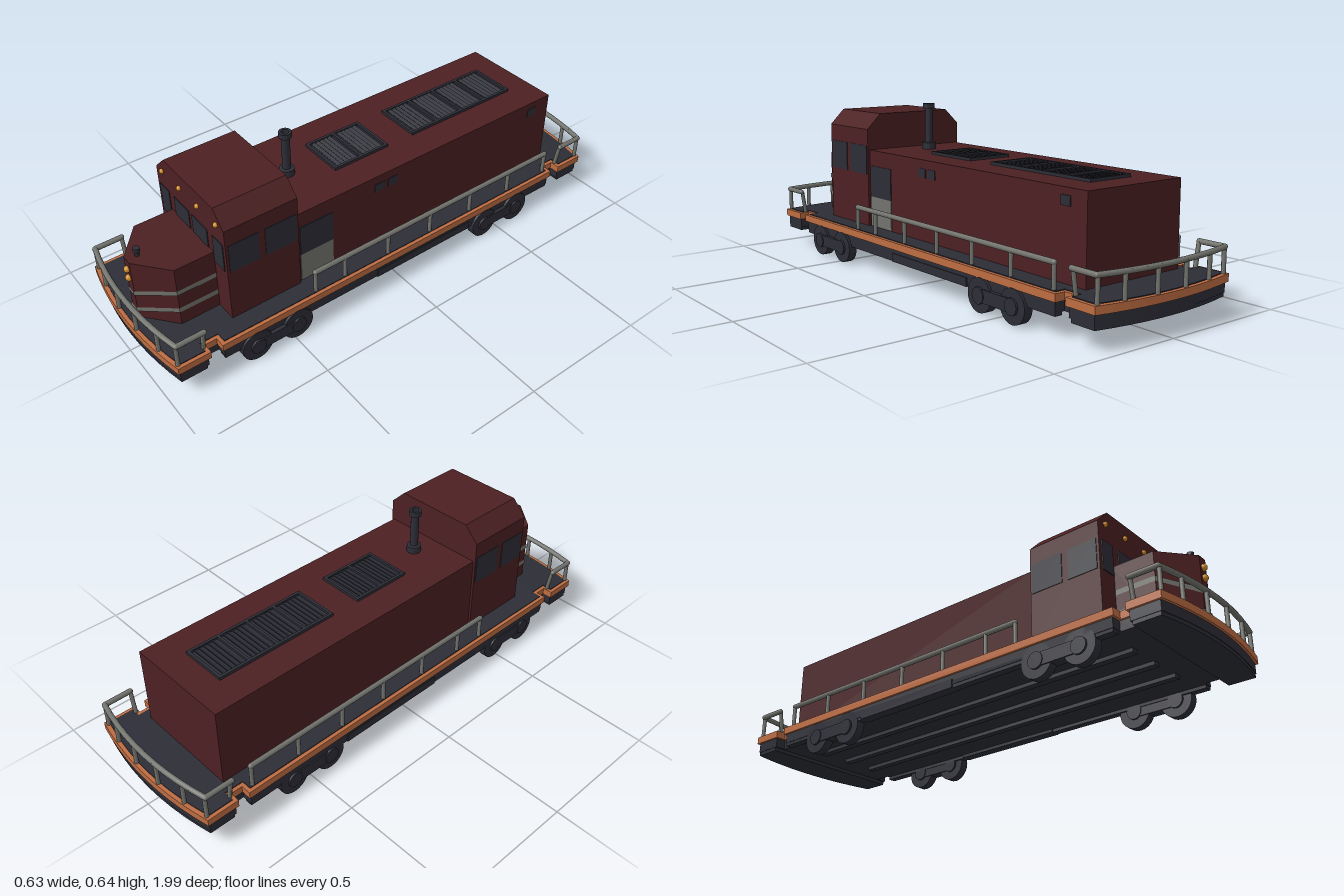
import * as THREE from 'three';

const mat = (name, color) => {
  const m = new THREE.MeshStandardMaterial({ color });
  m.name = name;
  return m;
};

export function createModel() {
  const maroon = mat('maroon paint', 0x4c2022);
  const slate = mat('slate metal', 0x2c2d36);
  const orange = mat('orange trim', 0xbd6c42);
  const grey = mat('grey rail', 0x72736d);
  const amber = mat('amber lamp', 0xd08a22);

  const model = new THREE.Group();
  model.name = 'locomotive';
  const body = new THREE.Group();
  body.name = 'body';
  body.position.x = -0.005;
  model.add(body);

  const add = (name, geo, material, parent = body) => {
    const m = new THREE.Mesh(geo, material);
    m.name = name;
    parent.add(m);
    return m;
  };
  // Box given by its limits on each axis
  const box = (name, x0, x1, y0, y1, z0, z1, material, parent) => {
    const m = add(name, new THREE.BoxGeometry(x1 - x0, y1 - y0, z1 - z0), material, parent);
    m.position.set((x0 + x1) / 2, (y0 + y1) / 2, (z0 + z1) / 2);
    return m;
  };
  const shapeOf = pts => new THREE.Shape(pts.map(p => new THREE.Vector2(p[0], p[1])));
  // Plan shape (x, z) extruded between two heights
  const slab = (name, pts, y0, y1, material) => {
    const g = new THREE.ExtrudeGeometry(shapeOf(pts), { depth: y1 - y0, bevelEnabled: false });
    g.rotateX(Math.PI / 2).translate(0, y1, 0);
    return add(name, g, material);
  };
  const UP = new THREE.Vector3(0, 1, 0);
  // Round bar between two points
  const rod = (name, a, b, r, material = grey) => {
    const p = new THREE.Vector3(...a), d = new THREE.Vector3(...b).sub(p);
    const m = add(name, new THREE.CylinderGeometry(r, r, d.length(), 10), material);
    m.position.copy(p).addScaledVector(d, 0.5);
    m.quaternion.setFromUnitVectors(UP, d.normalize());
    return m;
  };
  const handrail = (name, pts) => pts.forEach((p, i) => {
    add(name + 'Joint', new THREE.SphereGeometry(0.01, 10, 8), grey).position.set(...p);
    if (i) rod(name, pts[i - 1], p, 0.01);
  });

  // Deck plan: bowed ends and a small step notch near each corner
  const bow = (x, hw, tip) => tip - 0.035 * (x / hw) ** 2;
  const deckPlan = inset => {
    const hw = 0.31 - inset, tip = 0.995 - inset, n = 0.27 - inset, pts = [];
    for (const s of [1, -1]) {
      for (let i = 0; i <= 10; i++) {
        const x = hw * (1 - i / 5);
        pts.push([s * x, s * bow(x, hw, tip)]);
      }
      const a = 0.835 + inset, b = 0.79 - inset;
      for (const [x, z] of [[hw, a], [n, a], [n, b], [hw, b], [hw, -b], [n, -b], [n, -a], [hw, -a]])
        pts.push([-s * x, s * z]);
    }
    return pts;
  };
  slab('deckRim', deckPlan(0), 0.122, 0.15, orange);
  slab('deckFloor', deckPlan(0.014), 0.148, 0.153, slate);
  slab('underframe', deckPlan(0.008), 0.085, 0.123, slate);

  // End skirts, sills and ribs below the deck
  for (const s of [1, -1]) {
    const end = [[0.3, 0.85]];
    for (let i = 0; i <= 10; i++) {
      const x = 0.3 * (1 - i / 5);
      end.push([x, bow(x, 0.3, 0.985)]);
    }
    end.push([-0.3, 0.85]);
    slab('endSkirt', end.map(([x, z]) => [x * s, z * s]), 0.071, 0.1, slate);
    const sx = s * 0.285;
    box('sideSill', sx - 0.015, sx + 0.015, 0.073, 0.1, -0.78, 0.78, slate);
    box('centreSkirt', sx - 0.02, sx + 0.02, 0.073, 0.105, -0.34, 0.12, slate);
  }
  for (const x of [-0.13, 0, 0.13]) box('underRib', x - 0.014, x + 0.014, 0.071, 0.09, -0.75, 0.75, slate);

  // Wheels in pairs, with hubs and a side frame
  for (const s of [1, -1]) for (const zc of [0.57, -0.505]) {
    const truck = new THREE.Group();
    truck.name = 'truck';
    truck.position.set(s * 0.29, 0.063, zc);
    model.add(truck);
    for (const dz of [0.085, -0.085]) {
      const wheel = add('wheel', new THREE.CylinderGeometry(0.062, 0.062, 0.034, 24), slate, truck);
      const hub = add('wheelHub', new THREE.CylinderGeometry(0.03, 0.03, 0.05, 16), slate, truck);
      for (const m of [wheel, hub]) {
        m.rotation.z = Math.PI / 2;
        m.position.z = dz;
      }
    }
    box('sideFrame', -0.022, 0.022, -0.022, 0.025, -0.085, 0.085, slate, truck);
  }

  // Long hood
  box('hood', -0.214, 0.214, 0.15, 0.462, -0.825, 0.412, maroon);

  // Cab with chamfered roof edges
  const cab = [[-0.224, 0.15], [0.224, 0.15], [0.224, 0.545], [0.163, 0.605], [-0.163, 0.605], [-0.224, 0.545]];
  add('cab', new THREE.ExtrudeGeometry(shapeOf(cab), { depth: 0.288, bevelEnabled: false }).translate(0, 0, 0.41), maroon);

  // Pointed nose
  const nose = [[-0.141, 0.69], [-0.141, 0.85], [-0.02, 0.95], [0.02, 0.95], [0.141, 0.85], [0.141, 0.69]];
  slab('nose', nose, 0.15, 0.402, maroon);

  // Nose stripes, dipping towards the tip
  const stripe = (side, tip, h) => {
    const path = [[-0.144, 0.7], [-0.144, 0.852], [-0.021, 0.954], [0.021, 0.954], [0.144, 0.852], [0.144, 0.7]];
    const ys = [side, side, tip, tip, side, side], pos = [], idx = [];
    path.forEach(([x, z], i) => pos.push(x, ys[i], z, x, ys[i] + h, z));
    const g = new THREE.BufferGeometry();
    for (let i = 0; i < 5; i++) idx.push(2 * i, 2 * i + 2, 2 * i + 3, 2 * i, 2 * i + 3, 2 * i + 1);
    g.setAttribute('position', new THREE.Float32BufferAttribute(pos, 3));
    g.setIndex(idx);
    const flat = g.toNonIndexed();
    flat.computeVertexNormals();
    add('noseStripe', flat, grey);
  };
  stripe(0.29, 0.258, 0.019);
  stripe(0.212, 0.182, 0.019);

  // Cab windows
  for (const s of [1, -1]) {
    const pane = (a, b, y0) => box('frontWindow', Math.min(a * s, b * s), Math.max(a * s, b * s), y0, 0.479, 0.696, 0.701, slate);
    pane(0.01, 0.11, 0.4);
    pane(0.145, 0.209, 0.363);
    for (const [z0, z1] of [[0.57, 0.688], [0.418, 0.545]])
      box('sideWindow', s * 0.2245 - 0.002, s * 0.2245 + 0.002, 0.363, 0.479, z0, z1, slate);
  }

  // Lamps
  const lamp = (x, y, z, r) => {
    const m = add('lamp', new THREE.SphereGeometry(r, 14, 10), amber);
    m.position.set(x, y, z);
  };
  for (const x of [-0.18, -0.06, 0.06, 0.18]) lamp(x, 0.548, 0.7, 0.01);
  for (const y of [0.363, 0.324]) lamp(0, y, 0.952, 0.013);

  // Exhaust stack and nose vent pipe
  const turned = (name, prof, z) => {
    const g = new THREE.LatheGeometry(prof.map(p => new THREE.Vector2(...p)), 20).toNonIndexed();
    g.computeVertexNormals();
    add(name, g, slate).position.z = z;
  };
  turned('exhaustStack', [[0.028, 0.46], [0.028, 0.488], [0.016, 0.49], [0.016, 0.624], [0.024, 0.624],
    [0.024, 0.645], [0.014, 0.645], [0.014, 0.62], [0, 0.62]], 0.302);
  turned('nosePipe', [[0.008, 0.4], [0.008, 0.418], [0.012, 0.418], [0.012, 0.435], [0, 0.435]], 0.91);

  // Roof vents: base, frame and slanted slats
  for (const [z0, z1, cells] of [[-0.715, -0.21, 4], [-0.09, 0.155, 2]]) {
    const hw = 0.094, f = 0.011, step = (z1 - z0 - f) / cells;
    box('ventBase', -hw, hw, 0.46, 0.464, z0, z1, slate);
    for (const s of [1, -1]) box('ventFrame', s * (hw - f / 2) - f / 2, s * (hw - f / 2) + f / 2, 0.46, 0.473, z0, z1, slate);
    for (let i = 0; i <= cells; i++) {
      const z = z0 + i * step;
      box('ventBar', -hw, hw, 0.46, 0.473, z, z + f, slate);
      if (i < cells) for (let k = 1; k <= 5; k++) {
        const c = z + f + (step - f) * k / 6;
        box('ventSlat', -hw + f, hw - f, 0.466, 0.469, c - 0.007, c + 0.007, slate).rotation.x = 0.4;
      }
    }
  }

  // Left-side hatch and small grilles
  box('hatchGrille', 0.21, 0.217, 0.275, 0.4, 0.258, 0.4, slate);
  box('hatchPanel', 0.21, 0.217, 0.155, 0.275, 0.258, 0.4, grey);
  for (const [z, y] of [[-0.015, 0.412], [0.045, 0.412], [-0.73, 0.42]])
    box('smallGrille', 0.21, 0.217, y - 0.017, y + 0.017, z - 0.022, z + 0.022, slate);

  // Side handrails
  const top = 0.24;
  for (const s of [1, -1]) {
    const x = s * 0.288;
    handrail('sideRail', [[x, top, 0.39], [x, top, -0.76]]);
    for (const z of [0.39, 0.26, 0.06, -0.145, -0.35, -0.555, -0.76])
      rod('sideRailPost', [x, 0.15, z], [x, top, z], 0.008);
  }
  // End handrails following the bowed deck
  for (const s of [1, -1]) {
    const endZ = x => s * bow(x, 0.296, 0.985);
    const pts = [[-0.296, top, s * 0.845]];
    for (let i = 0; i <= 10; i++) {
      const x = -0.296 + 0.0592 * i;
      pts.push([x, top, endZ(x)]);
    }
    pts.push([0.296, top, s * 0.845]);
    handrail('endRail', pts);
    for (const x of [-0.292, -0.195, -0.065, 0.065, 0.195, 0.292])
      rod('endRailPost', [x, 0.15, endZ(x)], [x, top, endZ(x)], 0.008);
    for (const x of [-0.292, 0.292]) rod('endRailPost', [x * 0.95, 0.15, s * 0.847], [x, top, s * 0.847], 0.008);
  }
  return model;
}
